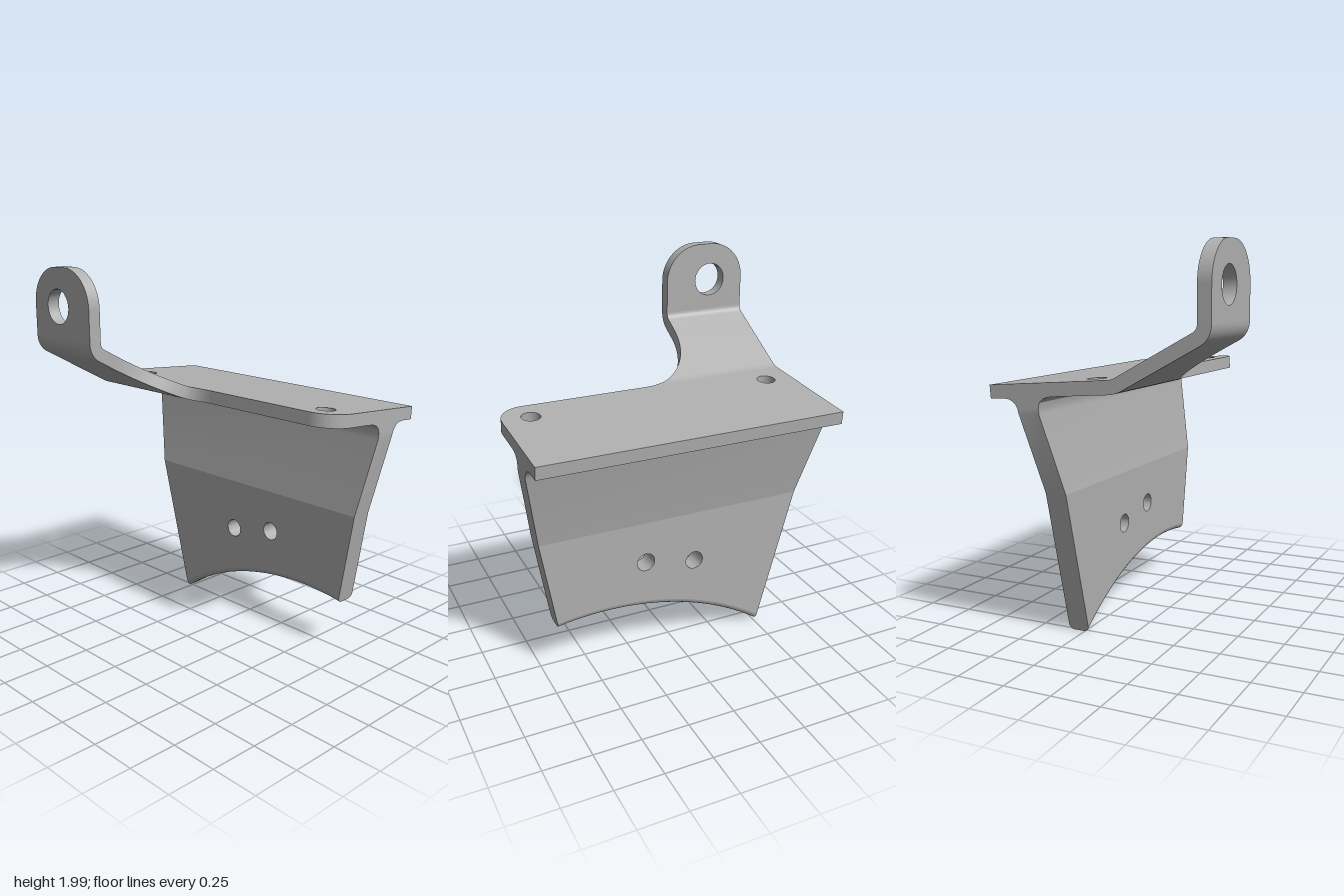
import * as THREE from 'three';
import { toCreasedNormals } from 'three/addons/utils/BufferGeometryUtils.js';

const T = 0.068;             // sheet thickness
const TILT = 0.077;          // slope of the top plate
const RISE = 0.506;          // slope of the arm
const LEFT = -0.828, RIGHT = 0.826;
const WEB_FRONT = -0.225, WEB_BACK = -0.34;
const lerp = THREE.MathUtils.lerp;

// Closed solid through equal-length convex loops of [x, y, z]
function loft(loops) {
  const n = loops[0].length, m = loops.length, index = [];
  for (let i = 0; i < m - 1; i++) {
    for (let j = 0; j < n; j++) {
      const a = i * n + j, b = i * n + (j + 1) % n;
      index.push(a, b, b + n, a, b + n, a + n);
    }
  }
  const end = (m - 1) * n;
  for (let j = 1; j < n - 1; j++) {
    index.push(0, j + 1, j, end, end + j, end + j + 1);
  }
  // Turn the faces outward if the loops run the other way
  const pts = loops.flat().map((p) => new THREE.Vector3(...p));
  const cross = new THREE.Vector3();
  let volume = 0;
  for (let i = 0; i < index.length; i += 3) {
    volume += pts[index[i]].dot(cross.crossVectors(pts[index[i + 1]], pts[index[i + 2]]));
  }
  if (volume < 0) index.reverse();
  const geo = new THREE.BufferGeometry().setFromPoints(pts);
  geo.setIndex(index);
  return toCreasedNormals(geo, 0.5);
}

function extrude(shape, depth, holes) {
  for (const [x, y, r] of holes) {
    shape.holes.push(new THREE.Path().absarc(x, y, r, 0, Math.PI * 2, true));
  }
  const geo = new THREE.ExtrudeGeometry(shape, { depth, bevelEnabled: false, curveSegments: 20 });
  return toCreasedNormals(geo, 0.5);
}

// Top plate: one rounded front corner and two bolt holes
function plateGeometry() {
  const r = 0.145, len = 0.645;
  const s = new THREE.Shape();
  s.moveTo(LEFT, 0);
  s.lineTo(RIGHT - r, 0);
  s.absarc(RIGHT - r, r, r, -Math.PI / 2, 0, false);
  s.lineTo(RIGHT, len);
  s.lineTo(LEFT, len);
  const geo = extrude(s, T, [[-0.675, 0.135, 0.05], [0.675, 0.135, 0.05]]);
  return geo.translate(0, 0, -T).rotateX(-Math.PI / 2 - TILT).translate(0, 1.365, 0.065);
}

// Bent arm: sheet rising from the plate, its inner side cut to a concave arc
function armGeometry() {
  const R = 0.1, z0 = 0.065, cut = 0.35, r = 0.04, zEnd = 0.489;
  const zc = z0 - R * Math.sin(TILT), yc = 1.365 + R * Math.cos(TILT);
  const zb = zc + R * Math.sin(RISE), yb = yc - R * Math.cos(RISE);
  const loops = [];
  const station = (z, y, a) => {
    const x = -Math.sqrt(Math.max(0, cut ** 2 - Math.max(0, z0 + cut - z) ** 2));
    const zl = z + T * Math.sin(a), yl = y - T * Math.cos(a);
    loops.push([[LEFT, y, z], [x, y, z], [x, yl, zl], [LEFT, yl, zl]]);
  };
  for (let i = 0; i <= 28; i++) {
    const z = z0 + cut * (1 - Math.cos((i / 28) * Math.PI / 2));
    if (z < zb) station(z, yc - Math.sqrt(R * R - (z - zc) ** 2), Math.asin((z - zc) / R));
    else station(z, yb + (z - zb) * Math.tan(RISE), RISE);
  }
  const yEnd = yb + (zEnd - zb) * Math.tan(RISE);
  for (let i = 0; i <= 8; i++) {
    const a = lerp(RISE, Math.PI / 2, i / 8);
    station(zEnd + r * (Math.sin(a) - Math.sin(RISE)), yEnd + r * (Math.cos(RISE) - Math.cos(a)), a);
  }
  return { geo: loft(loops), end: loops[loops.length - 1][0] };
}

// Upright tab with rounded top corners and an eye
function tabGeometry(y0, z0) {
  const r = 0.2, x1 = -0.35;
  const s = new THREE.Shape();
  s.moveTo(LEFT, y0);
  s.lineTo(x1, y0);
  s.lineTo(x1, 2 - r);
  s.absarc(x1 - r, 2 - r, r, 0, Math.PI / 2, false);
  s.absarc(LEFT + r, 2 - r, r, Math.PI / 2, Math.PI, false);
  return extrude(s, T, [[-0.62, 1.795, 0.092]]).translate(0, 0, z0);
}

// Point on the arched lower edge of the web, raised by d along the sides
function edgePoint(t, d) {
  const x = lerp(-0.515, 0.67, t), R = 1.588;
  const y = 0.3 - R + Math.sqrt(R * R - (x - 0.4) ** 2);
  return [x + lerp(-0.268, 0.17, t) * d, y + d];
}
const sideLeft = (y) => Math.max(LEFT, -0.515 - 0.268 * (y - 0.01));
const sideRight = (y) => Math.min(RIGHT, 0.67 + 0.17 * (y - 0.276));

const STEPS = 36, ROUND = 0.03, BEND = 0.78;

// Flat lower web with two holes
function lowerWebGeometry() {
  const s = new THREE.Shape();
  s.moveTo(sideLeft(BEND), BEND);
  for (let i = 0; i <= STEPS; i++) s.lineTo(...edgePoint(i / STEPS, ROUND));
  s.lineTo(sideRight(BEND), BEND);
  const holes = [[-0.11, 0.495, 0.05], [0.175, 0.55, 0.05]];
  return extrude(s, WEB_FRONT - WEB_BACK, holes).translate(0, 0, WEB_BACK);
}

// Rounded lip along the arched edge
function lipGeometry() {
  const half = [];
  for (let k = 0; k <= 4; k++) {
    const a = (k / 4) * Math.PI / 2;
    half.push([ROUND * (1 - Math.sin(a)), ROUND * (1 - Math.cos(a))]);
  }
  const section = [
    ...half.map(([d, inset]) => [d, WEB_FRONT - inset]),
    ...half.reverse().map(([d, inset]) => [d, WEB_BACK + inset]),
  ];
  const loops = [];
  for (let i = 0; i <= STEPS; i++) {
    loops.push(section.map(([d, z]) => [...edgePoint(i / STEPS, d), z]));
  }
  return loft(loops);
}

// Slanted upper web flaring into the underside of the plate
function upperWebGeometry() {
  const front = [[BEND, WEB_FRONT], [1.185, -0.301], [1.215, -0.304], [1.242, -0.298],
    [1.26, -0.28], [1.27, -0.255], [1.275, -0.22], [1.3, -0.22]];
  const back = [[BEND, WEB_BACK], [1.185, -0.416], [1.205, -0.421], [1.225, -0.432],
    [1.24, -0.447], [1.25, -0.47], [1.254, -0.5], [1.28, -0.5]];
  return loft(front.map(([yf, zf], i) => {
    const [yb, zb] = back[i];
    return [[sideLeft(yf), yf, zf], [sideRight(yf), yf, zf],
      [sideRight(yb), yb, zb], [sideLeft(yb), yb, zb]];
  }));
}

export function createModel() {
  const group = new THREE.Group();
  group.name = 'bracket';
  const metal = new THREE.MeshStandardMaterial({ color: 0xb0b0b0 });
  metal.name = 'grey metal';
  const add = (name, geo) => {
    const mesh = new THREE.Mesh(geo, metal);
    mesh.name = name;
    group.add(mesh);
  };
  const arm = armGeometry();
  add('topPlate', plateGeometry());
  add('bentArm', arm.geo);
  add('eyeTab', tabGeometry(arm.end[1], arm.end[2]));
  add('upperWeb', upperWebGeometry());
  add('lowerWeb', lowerWebGeometry());
  add('archedLip', lipGeometry());
  return group;
}
